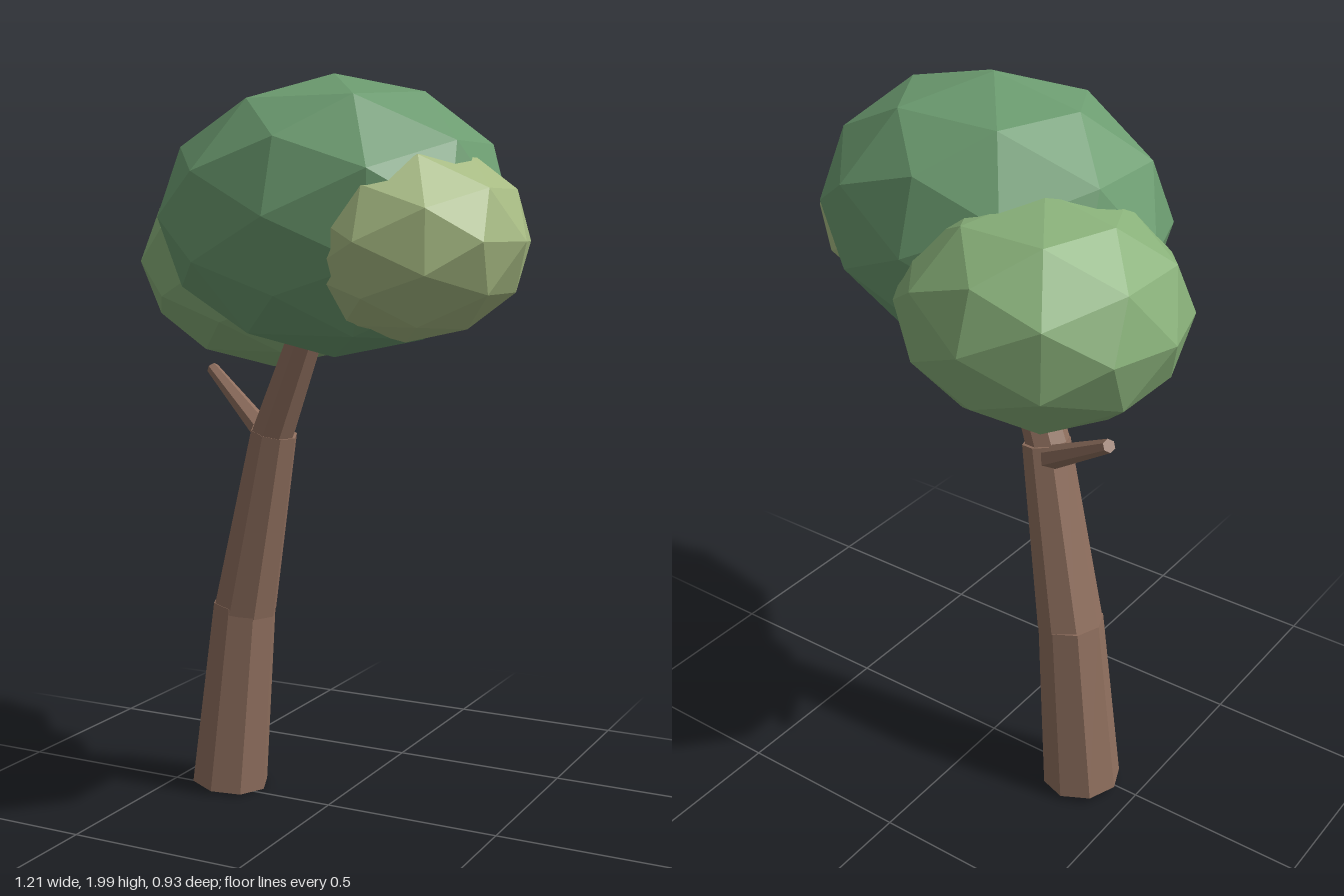
import * as THREE from 'three';

const mat = (color) => new THREE.MeshStandardMaterial({ color, flatShading: true });

// Tapered faceted limb running from point a to point b
function limb(name, a, b, r0, r1, sides, material) {
  const start = new THREE.Vector3(...a);
  const end = new THREE.Vector3(...b);
  const dir = end.clone().sub(start);
  const mesh = new THREE.Mesh(new THREE.CylinderGeometry(r1, r0, dir.length(), sides), material);
  mesh.position.copy(start).add(end).multiplyScalar(0.5);
  mesh.quaternion.setFromUnitVectors(new THREE.Vector3(0, 1, 0), dir.normalize());
  mesh.name = name;
  return mesh;
}

// Squashed low-poly ball of leaves
function leaves(name, center, radii, color) {
  const mesh = new THREE.Mesh(new THREE.IcosahedronGeometry(1, 1), mat(color));
  mesh.position.set(...center);
  mesh.scale.set(...radii);
  mesh.name = name;
  return mesh;
}

export function createModel() {
  const tree = new THREE.Group();
  tree.name = 'tree';
  const bark = mat(0x8f6f5e);

  // Leaning trunk in three bends, plus a bare side branch
  tree.add(
    limb('lowerTrunk', [-0.335, 0.017, -0.03], [-0.28, 0.55, -0.027], 0.111, 0.091, 8, bark),
    limb('middleTrunk', [-0.278, 0.54, -0.027], [-0.158, 1.053, 0.018], 0.091, 0.066, 8, bark),
    limb('upperTrunk', [-0.168, 1.03, 0.02], [0.01, 1.44, 0.065], 0.061, 0.045, 8, bark),
    limb('sideBranch', [-0.18, 1.02, -0.01], [-0.445, 1.205, -0.135], 0.034, 0.018, 6, bark),
  );

  // Overlapping clumps of foliage
  tree.add(
    leaves('mainFoliage', [0.055, 1.635, 0.075], [0.485, 0.365, 0.39], 0x6c9c70),
    leaves('backFoliage', [-0.23, 1.515, -0.115], [0.376, 0.295, 0.353], 0x88b079),
    leaves('sideFoliage', [0.285, 1.575, 0.13], [0.32, 0.255, 0.31], 0xa7bb83),
  );
  return tree;
}
